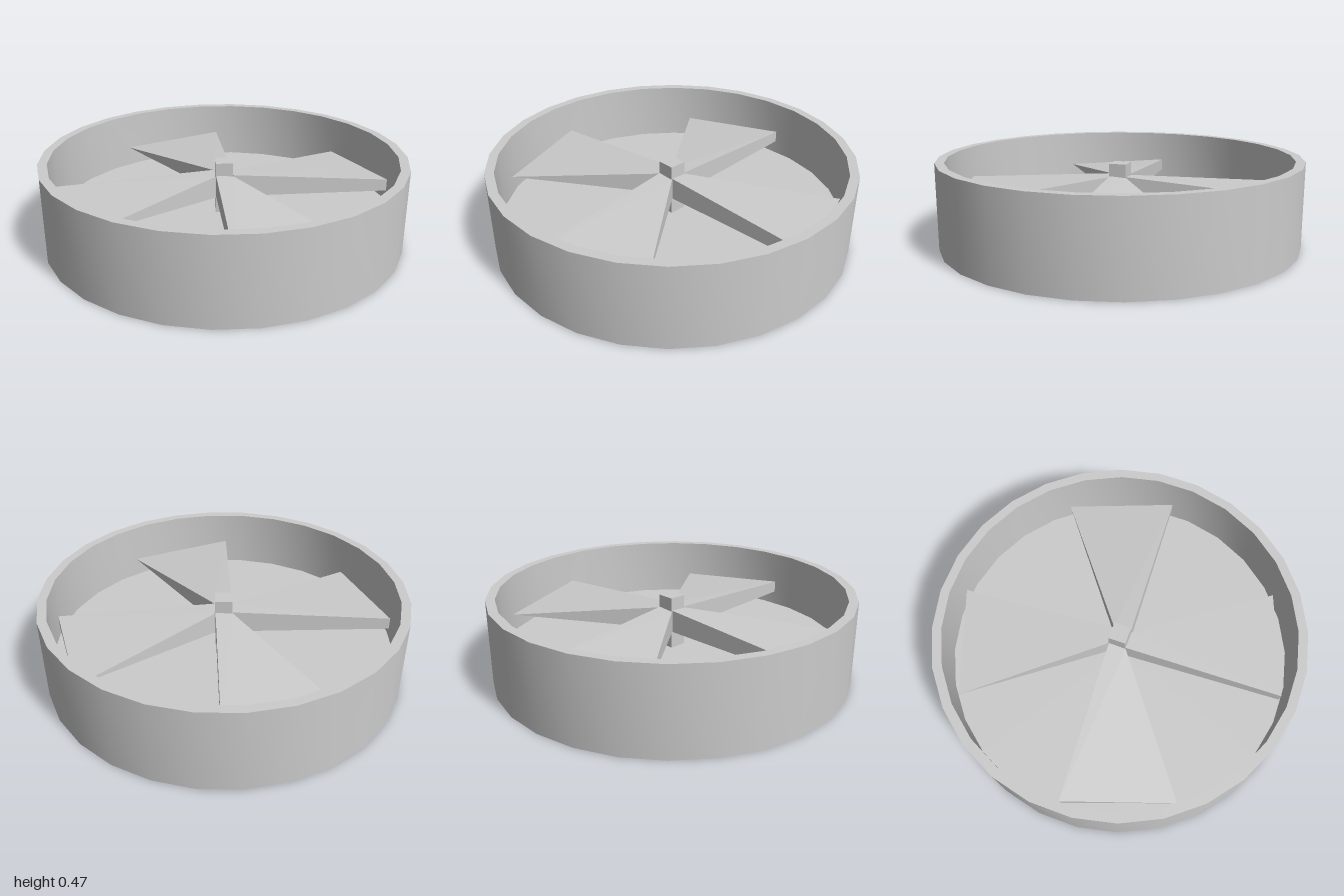
import * as THREE from 'three';
import { toCreasedNormals } from 'three/addons/utils/BufferGeometryUtils.js';
import { ConvexGeometry } from 'three/addons/geometries/ConvexGeometry.js';

const FLOOR = 0.14, HEIGHT = 0.47, SIDES = 28;
const v2 = (x, y) => new THREE.Vector2(x, y);
const v3 = (x, y, z) => new THREE.Vector3(x, y, z);

export function createModel() {
  const group = new THREE.Group();
  const material = new THREE.MeshStandardMaterial({ color: 0xcccccc });
  const shellMaterial = new THREE.MeshStandardMaterial({ color: 0xcccccc, side: THREE.DoubleSide });

  const add = (name, geometry, mat = material) => {
    const mesh = new THREE.Mesh(geometry, mat);
    mesh.name = name;
    group.add(mesh);
    return mesh;
  };

  // Round housing: outer wall, flat rim, inner wall and raised floor, open underneath
  const profile = [v2(1, 0), v2(1, HEIGHT), v2(0.95, HEIGHT), v2(0.95, FLOOR), v2(0, FLOOR)];
  add('housing', toCreasedNormals(new THREE.LatheGeometry(profile, SIDES), 0.6), shellMaterial);

  // Square post in the middle, turned slightly
  const hubHeight = 0.43 - FLOOR;
  const hub = add('hub', new THREE.BoxGeometry(0.096, hubHeight, 0.096));
  hub.position.y = FLOOR + hubHeight / 2;
  hub.rotation.y = -0.34;

  // Wedge blade: thick at the hub, thinner at the leading tip, sharp at the trailing tip
  const blade = new ConvexGeometry([
    v3(-0.032, 0.355, -0.064), v3(-0.032, 0.23, -0.064),
    v3(0.059, 0.36, -0.032), v3(0.059, 0.235, -0.032),
    v3(0.305, 0.296, -0.875), v3(0.305, 0.229, -0.875),
    v3(-0.305, 0.265, -0.875),
  ]);
  for (let i = 0; i < 4; i++) {
    add('blade' + (i + 1), blade).rotation.y = (i * Math.PI) / 2;
  }
  return group;
}
